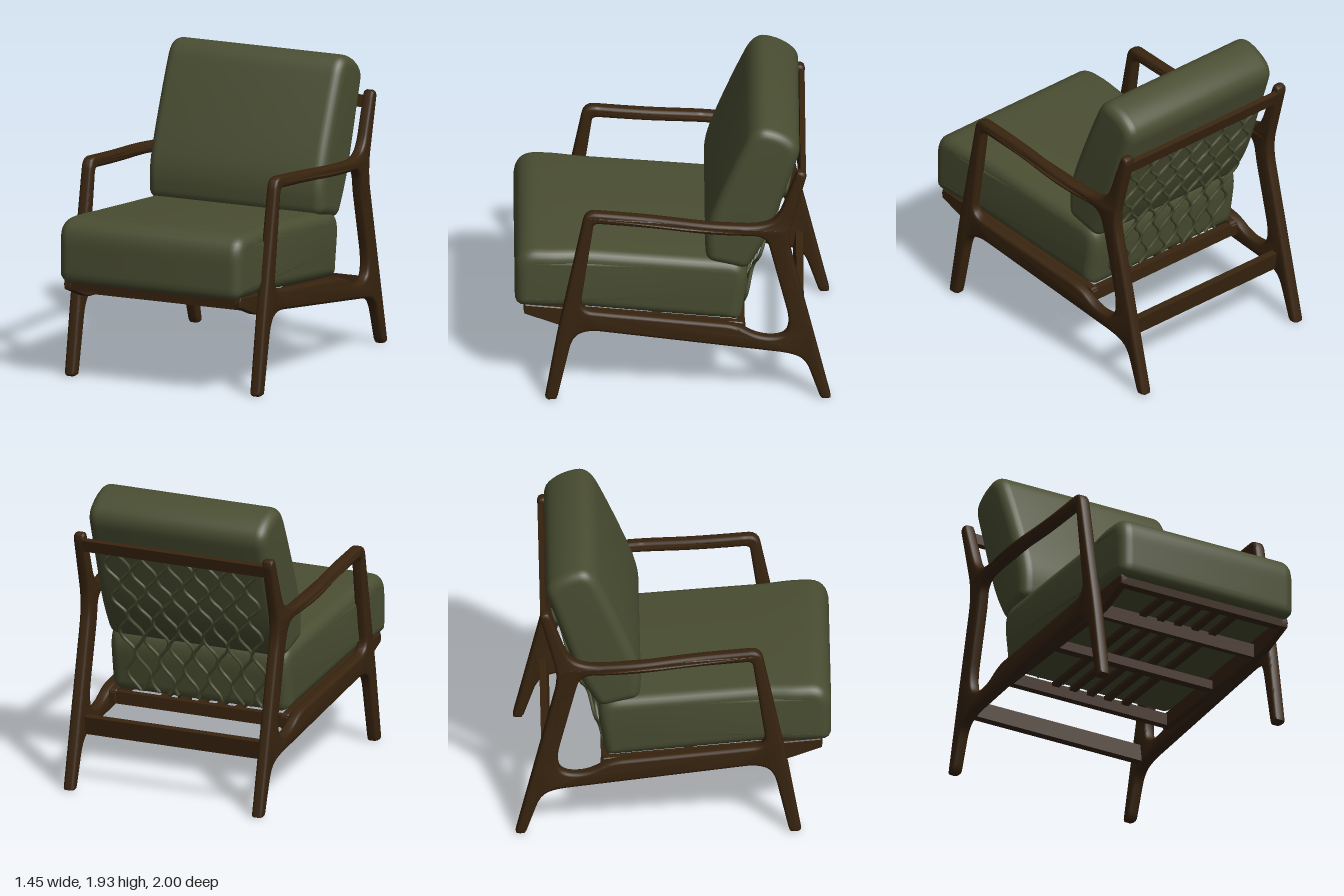
import * as THREE from 'three';
import { toCreasedNormals } from 'three/addons/utils/BufferGeometryUtils.js';

const wood = new THREE.MeshStandardMaterial({ color: 0x38240f });
wood.name = 'dark wood';
const fabric = new THREE.MeshStandardMaterial({ color: 0x4a4e32 });
fabric.name = 'olive fabric';

// Closed outline with rounded corners; each corner is [z, y, radius]
function outline(corners, samples) {
  const path = new THREE.Path();
  const n = corners.length;
  corners.forEach(([z, y, r], i) => {
    const p = new THREE.Vector2(z, y);
    const toward = (c) => {
      const d = new THREE.Vector2(c[0], c[1]).sub(p);
      return p.clone().addScaledVector(d.normalize(), Math.min(r, p.distanceTo(new THREE.Vector2(c[0], c[1])) * 0.48));
    };
    const a = toward(corners[(i + n - 1) % n]);
    const b = toward(corners[(i + 1) % n]);
    if (i === 0) path.moveTo(a.x, a.y);
    else path.lineTo(a.x, a.y);
    path.quadraticCurveTo(z, y, b.x, b.y);
  });
  path.closePath();
  const pts = path.getSpacedPoints(samples);
  pts.pop();
  return pts;
}

// Side profile extruded across x, centred on x = 0, with rounded edges
function profileSolid(points, width, bevel, segments, hole) {
  const shape = new THREE.Shape(points);
  if (hole) shape.holes.push(new THREE.Path(hole));
  const geo = new THREE.ExtrudeGeometry(shape, {
    depth: width - 2 * bevel, bevelEnabled: true, bevelThickness: bevel,
    bevelSize: bevel, bevelOffset: -bevel, bevelSegments: segments,
  });
  geo.translate(0, 0, bevel - width / 2);
  geo.rotateY(-Math.PI / 2);
  return geo;
}

function warp(geo, rule) {
  const pos = geo.attributes.position;
  const v = new THREE.Vector3();
  for (let i = 0; i < pos.count; i++) {
    rule(v.fromBufferAttribute(pos, i));
    pos.setXYZ(i, v.x, v.y, v.z);
  }
  return geo;
}

export function createModel() {
  const model = new THREE.Group();
  model.name = 'lounge chair';
  const add = (name, geo, mat) => {
    const mesh = new THREE.Mesh(geo, mat);
    mesh.name = name;
    model.add(mesh);
    return mesh;
  };
  const bar = (name, w, h, d, x, y, z, tilt = 0) => {
    const mesh = add(name, new THREE.BoxGeometry(w, h, d), wood);
    mesh.position.set(x, y, z);
    mesh.rotation.x = tilt;
  };

  // Side frames: legs, armrest, rail and back post in one piece
  const frameOuter = outline([
    [0.81, 0.005, 0.015], [0.735, 0.005, 0.015], [0.635, 0.47, 0.1], [0.53, 0.515, 0.08],
    [-0.75, 0.34, 0.1], [-0.84, 0.29, 0.08], [-0.935, 0.005, 0.015], [-1.0, 0.005, 0.015],
    [-0.725, 1.18, 0.12], [-0.85, 1.66, 0.03], [-0.79, 1.685, 0.03],
    [-0.66, 1.32, 0.1], [-0.54, 1.278, 0.08], [0.555, 1.38, 0.07], [0.725, 0.52, 0.1],
  ], 260);
  const frameHole = outline([
    [0.5, 1.3, 0.03], [-0.59, 1.205, 0.08], [-0.74, 0.58, 0.1], [-0.71, 0.46, 0.1],
    [-0.55, 0.455, 0.1], [-0.4, 0.545, 0.08], [0.59, 0.655, 0.09],
  ], 180);
  for (const side of [1, -1]) {
    const geo = profileSolid(frameOuter, 0.075, 0.02, 3, frameHole);
    // Armrest bows outward in the middle
    warp(geo, (v) => {
      const high = THREE.MathUtils.smoothstep(v.y, 1.0, 1.2);
      v.x += side * (0.657 + 0.03 * high * Math.exp(-(((v.z + 0.25) / 0.3) ** 2)));
    });
    add(side > 0 ? 'leftSideFrame' : 'rightSideFrame', toCreasedNormals(geo, 0.7), wood);

    // Inner rail of the seat frame
    const rail = profileSolid(
      outline([[0.945, 0.67, 0.01], [0.945, 0.605, 0.01], [0.7, 0.51, 0.05], [-0.46, 0.43, 0.01], [-0.46, 0.53, 0.01]], 80),
      0.05, 0.006, 1);
    rail.translate(side * 0.6, 0, 0);
    add(side > 0 ? 'leftSeatRail' : 'rightSeatRail', toCreasedNormals(rail, 0.5), wood);
  }

  // Cross rails
  bar('topBackRail', 1.27, 0.08, 0.035, 0, 1.595, -0.815, -0.25);
  bar('lowerBackRail', 1.27, 0.12, 0.045, 0, 0.4, -0.8, -0.15);
  bar('frontSeatRail', 1.22, 0.05, 0.07, 0, 0.63, 0.905, 0.08);
  bar('frontCrossRail', 1.2, 0.09, 0.04, 0, 0.555, 0.6);
  bar('middleCrossRail', 1.2, 0.06, 0.06, 0, 0.51, 0.1);
  bar('rearCrossRail', 1.25, 0.08, 0.05, 0, 0.48, -0.43);

  // Slats under the seat
  for (let i = -2; i <= 2; i++) bar('seatSlat', 0.05, 0.025, 1.34, i * 0.13, 0.565, 0.24, -0.085);

  // Seat cushion, a little wider at the front
  const seat = profileSolid(outline([
    [1.0, 1.07, 0.16], [1.0, 0.655, 0.06], [0.6, 0.635, 0.1], [-0.43, 0.53, 0.04],
    [-0.48, 0.86, 0.1], [-0.43, 0.965, 0.08], [0.1, 1.01, 0.2], [0.7, 1.06, 0.2],
  ], 120), 1.25, 0.075, 6);
  warp(seat, (v) => { v.x *= 1 + 0.035 * THREE.MathUtils.smoothstep(v.z, 0.55, 0.8); });
  add('seatCushion', toCreasedNormals(seat, 0.9), fabric);

  // Back cushion
  const back = profileSolid(outline([
    [-0.21, 0.97, 0.05], [-0.47, 0.9, 0.06], [-0.6, 1.13, 0.15], [-0.82, 1.8, 0.09],
    [-0.7, 1.91, 0.12], [-0.52, 1.955, 0.13], [-0.4, 1.7, 0.2], [-0.245, 1.32, 0.2], [-0.2, 1.15, 0.15],
  ], 120), 1.245, 0.07, 6);
  add('backCushion', toCreasedNormals(back, 0.9), fabric);

  // Looping straps behind the back cushion, neighbours mirrored
  const line = new THREE.CatmullRomCurve3([
    [0, 1.6, -0.765], [0, 1.35, -0.685], [0, 1.12, -0.61], [0, 0.85, -0.515], [0, 0.55, -0.44],
  ].map((p) => new THREE.Vector3(...p)));
  const strands = 12;
  for (let i = 0; i < strands; i++) {
    const x = (i / (strands - 1) - 0.5) * 1.0;
    const sign = i % 2 ? 1 : -1;
    const pts = line.getPoints(28).map((p, k) => {
      p.x = x * (1 - 0.12 * k / 28) + sign * 0.042 * Math.sin(k * 0.9 + Math.floor(i / 2) * 0.8);
      return p;
    });
    add('backStrap', new THREE.TubeGeometry(new THREE.CatmullRomCurve3(pts), 80, 0.011, 6), fabric);
  }
  return model;
}
